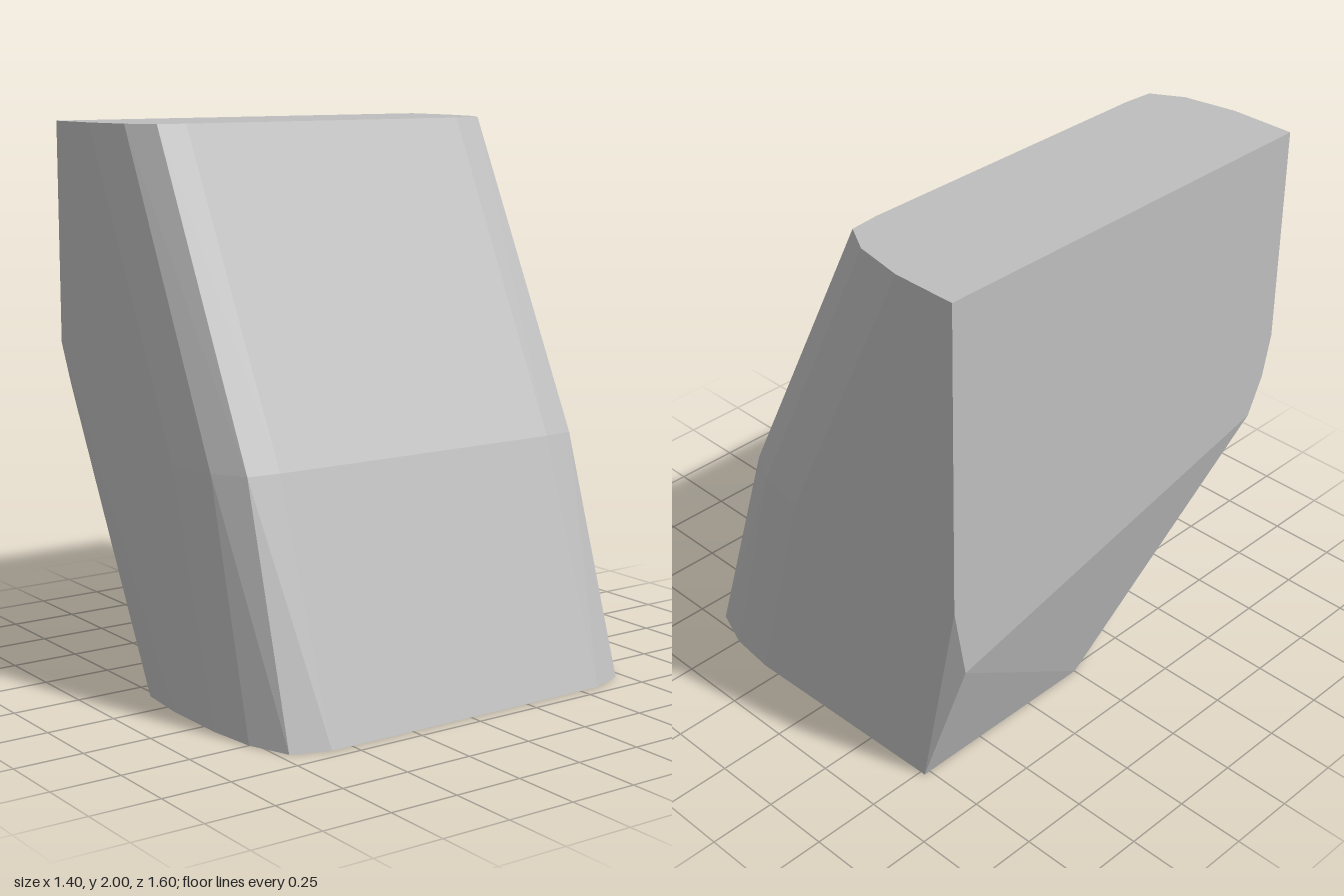
import * as THREE from 'three';
import { ConvexGeometry } from 'three/addons/geometries/ConvexGeometry.js';

export function createModel() {
  const group = new THREE.Group();
  const grey = new THREE.MeshStandardMaterial({ color: 0xbebebe });
  grey.name = 'stone grey';

  // Rounded edge sections [x, z], from the flat side to the slanted face
  const levels = [
    { y: 2, edge: [[-0.7, 0.8], [-0.46, 0.8], [-0.27, 0.765], [-0.16, 0.7], [-0.15, 0.59]] },
    { y: 0.87, edge: [[0.08, 0.8], [0.27, 0.767], [0.39, 0.7], [0.403, 0.58]] },
    { y: 0, edge: [[0.32, 0.793], [0.5, 0.773], [0.65, 0.715], [0.7, 0.58]] },
  ];
  const points = [];
  for (const { y, edge } of levels) {
    for (const [x, z] of edge) {
      points.push(new THREE.Vector3(x, y, z), new THREE.Vector3(x, y, -z));
    }
  }

  // Bevelled front left lower corner, then the back left lower corner
  const corners = [
    [-0.7, 1.2, 0.8], [-0.7, 1.04, 0.765], [-0.7, 0.9, 0.7],
    [0.06, 0, 0.795], [-0.14, 0, 0.775], [-0.2, 0, 0.745], [-0.52, 0, 0],
    [-0.7, 0.84, -0.8], [-0.7, 0.56, -0.75], [-0.52, 0, -0.775],
  ];
  for (const c of corners) points.push(new THREE.Vector3(...c));

  const block = new THREE.Mesh(new ConvexGeometry(points), grey);
  block.name = 'bevelledBlock';
  group.add(block);
  return group;
}
